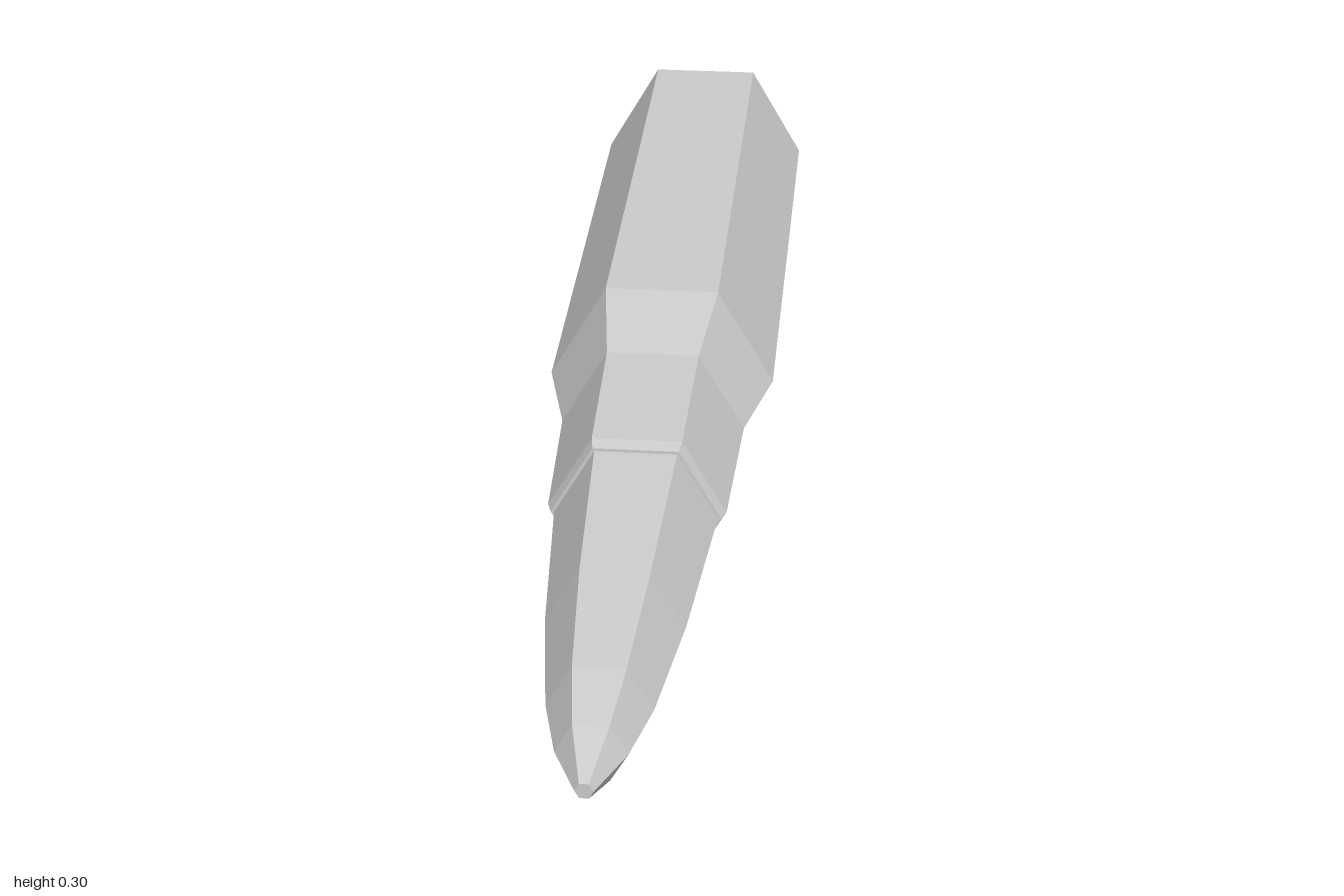
import * as THREE from 'three';

const AXIS_Y = 0.148; // height of the long axis above the ground

// Six-sided turned part along +z from [radius, z] pairs
function hexTurned(name, profile) {
  const points = profile.map(([r, z]) => new THREE.Vector2(r, z));
  const geometry = new THREE.LatheGeometry(points, 6, Math.PI / 2);
  geometry.rotateX(Math.PI / 2);
  const material = new THREE.MeshStandardMaterial({ color: 0xcccccc, flatShading: true });
  const mesh = new THREE.Mesh(geometry, material);
  mesh.name = name;
  mesh.position.y = AXIS_Y;
  return mesh;
}

export function createModel() {
  const group = new THREE.Group();
  group.name = 'cartridge';

  // Case: flat base, straight body, shoulder, neck and bevelled mouth
  group.add(hexTurned('case', [
    [0, -1], [0.171, -1], [0.171, -0.09], [0.136, 0.065],
    [0.127, 0.315], [0.121, 0.335], [0.116, 0.335],
  ]));

  // Bullet: curved taper seated in the mouth, with a small flat tip
  group.add(hexTurned('bullet', [
    [0.116, 0.335], [0.094, 0.62], [0.069, 0.82],
    [0.046, 0.92], [0.012, 1], [0, 1],
  ]));

  return group;
}
